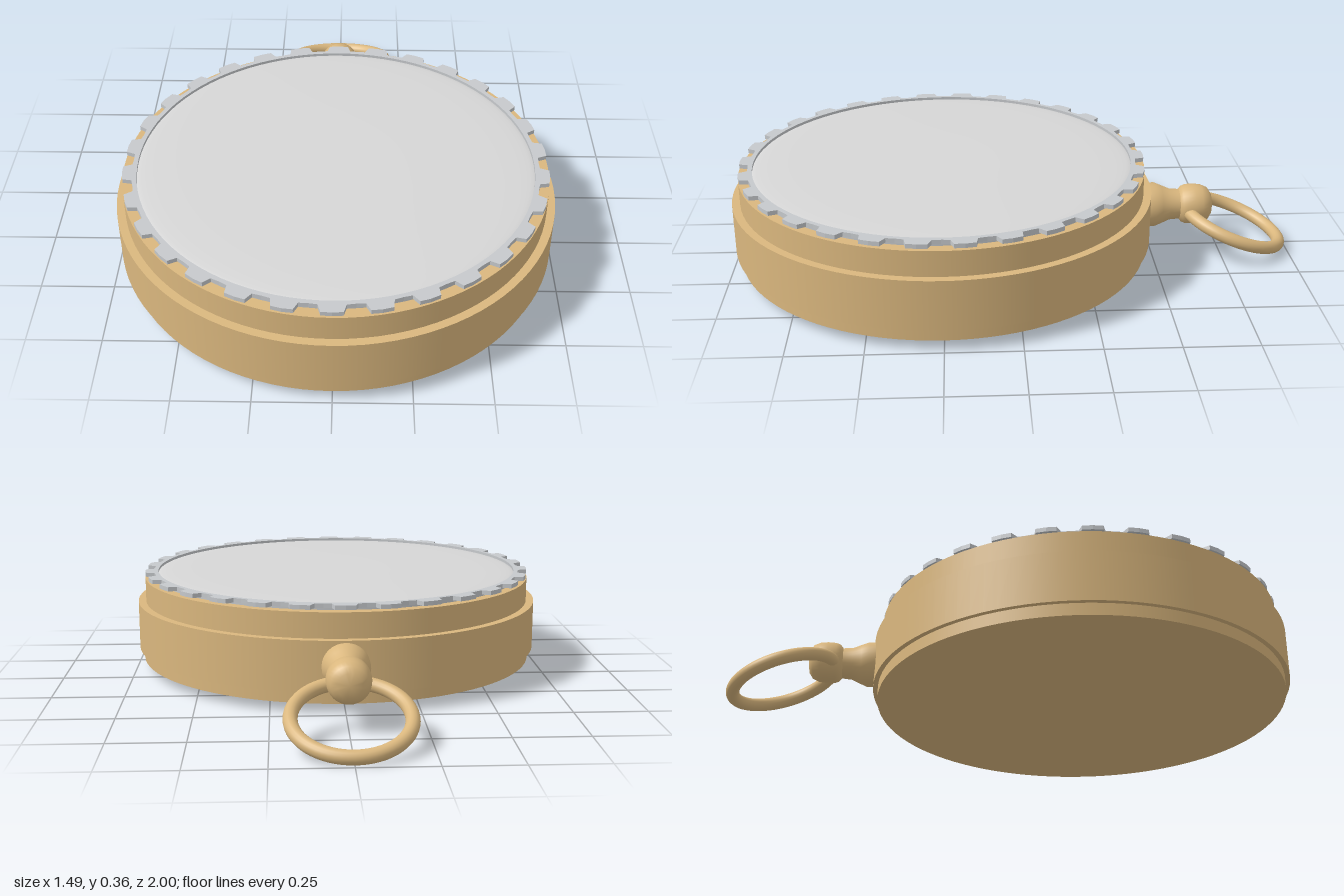
import * as THREE from 'three';
import { toCreasedNormals } from 'three/addons/utils/BufferGeometryUtils.js';

const CZ = 0.253; // centre of the round case along z

export function createModel() {
  const model = new THREE.Group();
  const mat = (name, color) => {
    const m = new THREE.MeshStandardMaterial({ color });
    m.name = name;
    return m;
  };
  const brass = mat('brass', 0xdab77e);
  const silver = mat('silver', 0xc6c9cc);
  const glass = mat('glass', 0xd6d6d6);

  const add = (name, geometry, material, x, y, z) => {
    const mesh = new THREE.Mesh(geometry, material);
    mesh.name = name;
    mesh.position.set(x, y, z);
    model.add(mesh);
    return mesh;
  };

  // Stepped round case
  const disc = (name, r, y0, y1, material) =>
    add(name, new THREE.CylinderGeometry(r, r, y1 - y0, 96), material, 0, (y0 + y1) / 2, CZ);
  disc('caseBack', 0.728, 0.033, 0.08, brass);
  disc('caseBand', 0.745, 0.075, 0.25, brass);
  disc('caseTop', 0.717, 0.245, 0.338, brass);
  disc('bezelBase', 0.68, 0.335, 0.347, silver);

  // Bezel with square-cut teeth around its edge
  const teeth = 30, step = (Math.PI * 2) / teeth;
  const outline = [];
  const point = (r, a) => outline.push(new THREE.Vector2(r * Math.cos(a), r * Math.sin(a)));
  for (let i = 0; i < teeth; i++) {
    const a = Math.PI / 2 + i * step;
    point(0.685, a - step * 0.3);
    point(0.715, a - step * 0.23);
    point(0.717, a);
    point(0.715, a + step * 0.23);
    point(0.685, a + step * 0.3);
    point(0.683, a + step * 0.5);
  }
  const bezelShape = new THREE.Shape(outline);
  bezelShape.holes.push(new THREE.Path().absarc(0, 0, 0.668, 0, Math.PI * 2, true));
  const bezelGeo = new THREE.ExtrudeGeometry(bezelShape, { depth: 0.015, bevelEnabled: false, curveSegments: 48 });
  bezelGeo.rotateX(-Math.PI / 2);
  add('toothedBezel', bezelGeo, silver, 0, 0.345, CZ);

  // Very shallow domed crystal
  const dome = [];
  for (let i = 0; i <= 14; i++) {
    const t = Math.cos((i / 14) * Math.PI / 2);
    dome.push(new THREE.Vector2(i === 14 ? 0 : 0.67 * t, 0.349 + 0.013 * Math.sqrt(1 - t ** 4)));
  }
  add('crystal', new THREE.LatheGeometry(dome, 96), glass, 0, 0, CZ);

  // Flared neck and rounded knob, turned around the z axis
  const profile = [
    [0, 0], [0.08, 0], [0.08, 0.035], [0.07, 0.06], [0.057, 0.09], [0.054, 0.125],
    [0.066, 0.135], [0.072, 0.15], [0.073, 0.18], [0.07, 0.205], [0.06, 0.228], [0.04, 0.241], [0, 0.245],
  ].map(([r, y]) => new THREE.Vector2(r, y));
  const neckGeo = toCreasedNormals(new THREE.LatheGeometry(profile, 32), 0.75);
  neckGeo.rotateX(-Math.PI / 2);
  add('neckAndKnob', neckGeo, brass, 0, 0.163, -0.478);

  // Hanging ring, drooping to the ground
  const ring = add('hangingRing', new THREE.TorusGeometry(0.185, 0.023, 16, 64), brass, 0, 0.087, -0.803);
  ring.rotation.x = Math.PI / 2 - THREE.MathUtils.degToRad(20);

  return model;
}
